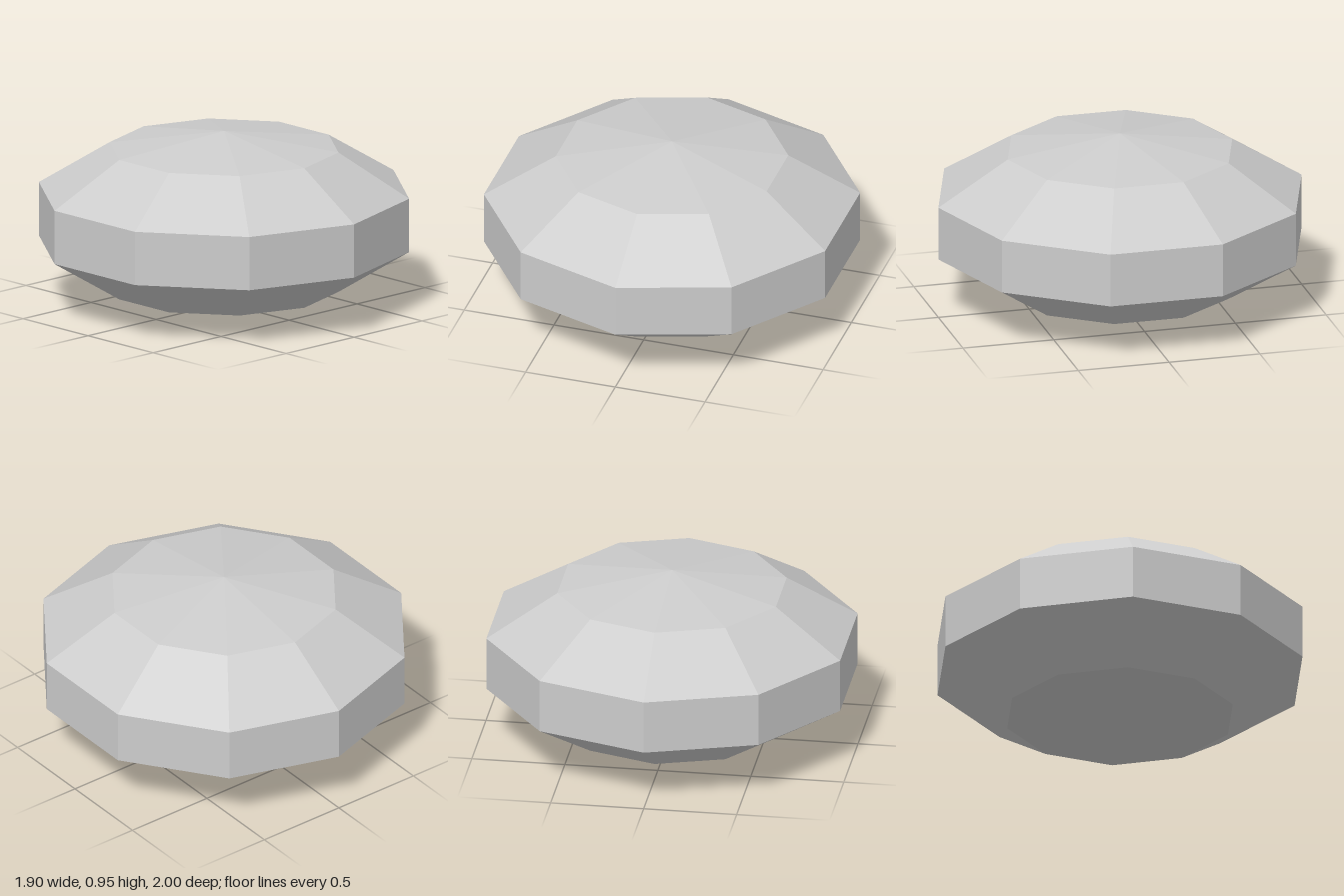
import * as THREE from 'three';

export function createModel() {
  const group = new THREE.Group();
  group.name = 'facetedStone';

  const stoneGrey = new THREE.MeshStandardMaterial({ color: 0xcccccc, flatShading: true });
  stoneGrey.name = 'stoneGrey';

  // Ten-sided, five-band sphere whose widest rings have radius 1, flattened in y
  const radius = 1 / Math.sin(Math.PI * 0.4);
  const halfHeight = 0.473;
  const geometry = new THREE.SphereGeometry(radius, 10, 5);
  geometry.rotateY(Math.PI / 2); // corners point to front and back
  geometry.scale(1, halfHeight / radius, 1);
  geometry.translate(0, halfHeight, 0);

  // One normal per facet
  const faceted = geometry.toNonIndexed();
  faceted.computeVertexNormals();

  const stone = new THREE.Mesh(faceted, stoneGrey);
  stone.name = 'stone';
  group.add(stone);
  return group;
}
